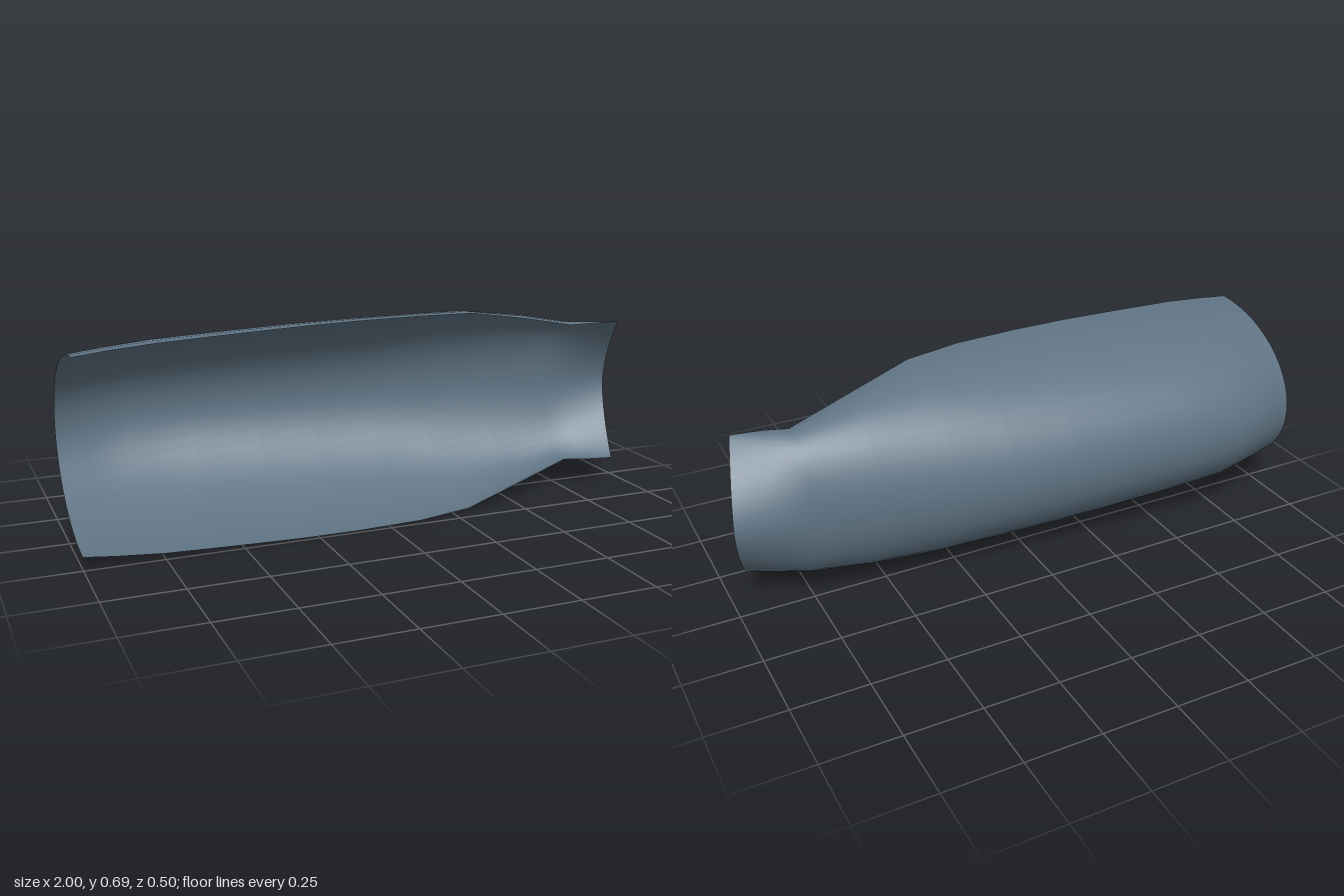
import * as THREE from 'three';

const CENTRE_Y = 0.345;
const SEGMENTS = 28;

// Stations along the shell:
// x, half height, back z, open edge z, inward curl of the edge (radians), arc flattening, end slant
const STATIONS = [
  [-1.0, 0.302, -0.175, 0.25, 0, 0, 0],
  [-0.9, 0.313, -0.207, 0.25, 0, 0, 0],
  [-0.75, 0.325, -0.248, 0.25, 0, 0, 0],
  [-0.53, 0.334, -0.25, 0.246, 0, 0, 0],
  [-0.3, 0.342, -0.243, 0.241, 0, 0, 0],
  [-0.1, 0.345, -0.232, 0.234, 0, 0, 0],
  [0.12, 0.344, -0.213, 0.222, 0.02, 0, 0],
  [0.31, 0.337, -0.183, 0.193, 0.08, 0, 0],
  [0.55, 0.297, -0.14, 0.123, 0.2, 0, 0],
  [0.76, 0.254, -0.095, 0.07, 0.25, 0, 0],
  [0.86, 0.252, -0.089, 0.088, 0.14, 0.45, 0.02],
  [1.0, 0.252, -0.07, 0.1, 0, 1, 0.06],
];

// One open, C-shaped cross-section running from the top edge round the back to the bottom edge
function section([x, h, back, edge, curl, flat, slant]) {
  const depth = (edge - back) / (1 + Math.sin(curl));
  const points = [];
  for (let j = 0; j <= SEGMENTS; j++) {
    const t = -curl + (Math.PI + 2 * curl) * j / SEGMENTS;
    const shallow = 1 - Math.pow(Math.abs(Math.cos(t)), 1.65);
    const s = THREE.MathUtils.lerp(Math.sin(t), t < 0 || t > Math.PI ? Math.sin(t) : shallow, flat);
    const z = back + depth * (1 - s);
    points.push(x - slant * (z - back) / (edge - back), CENTRE_Y + h * Math.cos(t), z);
  }
  return points;
}

// Skin the stations into one smooth open surface
function shellGeometry() {
  const positions = STATIONS.flatMap(section);
  const index = [];
  const row = SEGMENTS + 1;
  for (let i = 0; i < STATIONS.length - 1; i++) {
    for (let j = 0; j < SEGMENTS; j++) {
      const a = i * row + j;
      const b = a + row;
      index.push(a, b, a + 1, b, b + 1, a + 1);
    }
  }
  const geometry = new THREE.BufferGeometry();
  geometry.setAttribute('position', new THREE.Float32BufferAttribute(positions, 3));
  geometry.setIndex(index);
  geometry.computeVertexNormals();
  return geometry;
}

export function createModel() {
  const group = new THREE.Group();
  group.name = 'curvedGuard';
  const slateBlue = new THREE.MeshStandardMaterial({ color: 0x607484, side: THREE.DoubleSide });
  slateBlue.name = 'slate blue';
  const shell = new THREE.Mesh(shellGeometry(), slateBlue);
  shell.name = 'shell';
  group.add(shell);
  return group;
}
